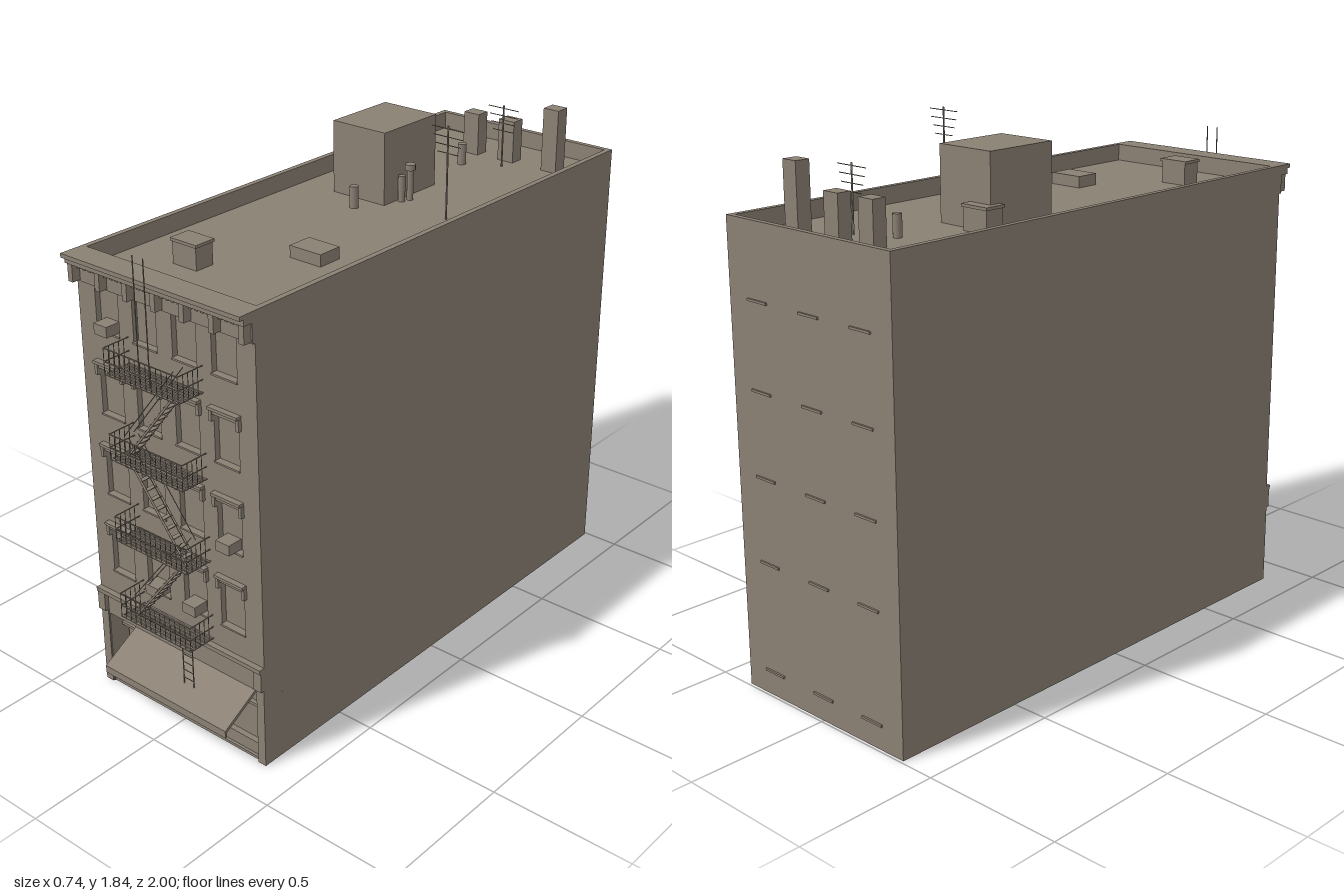
import * as THREE from 'three';

const stone = new THREE.MeshStandardMaterial({ color: 0x8a8074 });
stone.name = 'brownstone';

export function createModel() {
  const model = new THREE.Group();
  model.name = 'tenementBuilding';

  const group = (name, parent = model) => {
    const g = new THREE.Group();
    g.name = name;
    parent.add(g);
    return g;
  };
  const add = (name, geo, parent = model) => {
    const m = new THREE.Mesh(geo, stone);
    m.name = name;
    parent.add(m);
    return m;
  };
  // box given by its limits on each axis
  const box = (name, x0, x1, y0, y1, z0, z1, parent) => {
    const g = new THREE.BoxGeometry(x1 - x0, y1 - y0, z1 - z0);
    g.translate((x0 + x1) / 2, (y0 + y1) / 2, (z0 + z1) / 2);
    return add(name, g, parent);
  };
  // thin round bar between two points
  const rod = (name, a, b, r, parent) => {
    const p = new THREE.Vector3(...a), q = new THREE.Vector3(...b);
    const d = q.clone().sub(p);
    const m = add(name, new THREE.CylinderGeometry(r, r, d.length(), 6), parent);
    m.position.copy(p).add(q).multiplyScalar(0.5);
    m.quaternion.setFromUnitVectors(new THREE.Vector3(0, 1, 0), d.normalize());
    return m;
  };
  const pipe = (name, x, z, r, y0, y1, parent) => {
    const g = new THREE.CylinderGeometry(r, r, y1 - y0, 14);
    g.translate(x, (y0 + y1) / 2, z);
    return add(name, g, parent);
  };

  const W = 0.37, front = 0.86, back = -0.99, deck = 1.52, top = 1.58;
  const columns = [-0.245, -0.083, 0.083, 0.245];
  const floors = [0.465, 0.755, 1.045, 1.335];

  // main block and front wall with window and shop openings
  box('mainBlock', -W, W, 0, deck, back, 0.78);
  const wall = new THREE.Shape();
  [[-W, 0], [-0.335, 0], [-0.335, 0.275], [0.335, 0.275], [0.335, 0], [W, 0], [W, deck], [-W, deck]]
    .forEach(([x, y], i) => (i ? wall.lineTo(x, y) : wall.moveTo(x, y)));
  for (const y of floors) for (const x of columns) {
    const hole = new THREE.Path();
    hole.moveTo(x - 0.05, y);
    hole.lineTo(x - 0.05, y + 0.158);
    hole.lineTo(x + 0.05, y + 0.158);
    hole.lineTo(x + 0.05, y);
    hole.closePath();
    wall.holes.push(hole);
  }
  const wallGeo = new THREE.ExtrudeGeometry(wall, { depth: front - 0.78, bevelEnabled: false });
  wallGeo.translate(0, 0, 0.78);
  add('frontWall', wallGeo);

  // windows with sills and bracketed lintels
  const windows = group('windows');
  for (const y of floors) for (const x of columns) {
    box('windowPane', x - 0.051, x + 0.051, y - 0.001, y + 0.159, 0.82, 0.84, windows);
    box('windowSill', x - 0.052, x + 0.052, y - 0.006, y, 0.84, front + 0.005, windows);
    if (y > 1.3) continue;
    box('lintelCap', x - 0.06, x + 0.06, y + 0.175, y + 0.185, front, 0.88, windows);
    box('lintel', x - 0.055, x + 0.055, y + 0.158, y + 0.175, front, 0.868, windows);
    for (const s of [-1, 1])
      box('lintelBracket', x + s * 0.055 - 0.006, x + s * 0.055 + 0.006, y + 0.135, y + 0.175, front, 0.873, windows);
  }
  for (const [x, y] of [[-0.243, 1.335], [0.243, 0.757], [-0.083, 0.467], [0.083, 0.467]])
    box('airConditioner', x - 0.028, x + 0.028, y, y + 0.036, 0.835, 0.895, windows);

  // rear window sills
  for (const y of [0.085, 0.465, 0.755, 1.04, 1.33]) for (const x of [-0.235, -0.005, 0.235])
    box('rearSill', x - 0.045, x + 0.045, y - 0.004, y + 0.004, back - 0.006, back, windows);

  // parapet and front cornice
  const roof = group('roof');
  for (const s of [-1, 1])
    box('sideParapet', s * 0.36 - 0.01, s * 0.36 + 0.01, deck, top, back, front, roof);
  box('rearParapet', -0.35, 0.35, deck, top, back, back + 0.02, roof);
  box('frontParapet', -0.35, 0.35, deck, top, 0.83, front, roof);
  const cornice = group('cornice');
  box('corniceTop', -W, W, 1.566, top, front, 0.92, cornice);
  box('corniceStep', -W, W, 1.545, 1.566, front, 0.905, cornice);
  box('frieze', -W, W, 1.48, 1.545, front, 0.87, cornice);
  for (let i = 0; i < 7; i++) {
    const x = -0.355 + i * 0.71 / 6;
    box('corniceBracket', x - 0.01, x + 0.01, 1.485, 1.545, 0.87, 0.9, cornice);
    for (let k = 1; k < 5 && i < 6; k++)
      box('dentil', x + k * 0.0237 - 0.006, x + k * 0.0237 + 0.006, 1.53, 1.545, 0.87, 0.887, cornice);
  }

  // shopfront
  const shop = group('shopfront');
  box('shopFloor', -0.335, 0.335, 0, 0.01, 0.78, 0.855, shop);
  box('shopCornice', -W, W, 0.36, 0.375, front, 0.88, shop);
  for (const s of [-1, 1]) {
    box('pilaster', s * 0.354 - 0.016, s * 0.354 + 0.016, 0, 0.29, front, 0.864, shop);
    box('pilasterCap', s * 0.354 - 0.016, s * 0.354 + 0.016, 0.29, 0.36, front, 0.876, shop);
  }
  box('door', -0.325, -0.23, 0.01, 0.205, 0.78, 0.79, shop);
  box('doorTransom', -0.335, -0.22, 0.205, 0.215, 0.78, 0.81, shop);
  box('shopPost', -0.225, -0.212, 0, 0.275, 0.78, 0.85, shop);
  box('shopStall', -0.212, 0.335, 0, 0.055, 0.78, 0.845, shop);
  box('shopGlass', -0.212, 0.335, 0.055, 0.275, 0.78, 0.825, shop);
  box('shopRail', -0.212, 0.335, 0.19, 0.2, 0.82, 0.84, shop);
  for (const x of [-0.03, 0.15, 0.33])
    box('shopMullion', x - 0.005, x + 0.005, 0.055, 0.275, 0.82, 0.84, shop);

  // sloping awning with a short hanging edge; profile drawn in (z, y)
  const profile = new THREE.Shape();
  [[0.86, 0.262], [0.992, 0.188], [0.992, 0.17], [1.0, 0.17], [1.0, 0.196], [0.86, 0.275]]
    .forEach(([z, y], i) => (i ? profile.lineTo(z, y) : profile.moveTo(z, y)));
  const awningGeo = new THREE.ExtrudeGeometry(profile, { depth: 0.54, bevelEnabled: false });
  awningGeo.rotateY(-Math.PI / 2);
  awningGeo.translate(0.33, 0, 0);
  add('awning', awningGeo);

  // fire escape balconies
  const escape = group('fireEscape');
  const x0 = -0.157, x1 = 0.155, zOut = 0.962, levels = [0.39, 0.675, 0.965, 1.255];
  for (const y of levels) {
    const balcony = group('balcony', escape);
    for (let i = 0; i < 8; i++) {
      const z = 0.866 + i * 0.0132;
      box('floorSlat', x0, x1, y, y + 0.005, z - 0.003, z + 0.003, balcony);
    }
    for (const h of [0.003, 0.045, 0.09]) {
      rod('frontRail', [x0, y + h, zOut], [x1, y + h, zOut], 0.002, balcony);
      for (const x of [x0, x1]) rod('sideRail', [x, y + h, front], [x, y + h, zOut], 0.002, balcony);
    }
    for (let i = 0; i <= 14; i++) {
      const x = x0 + (x1 - x0) * i / 14;
      rod('baluster', [x, y, zOut], [x, y + 0.09, zOut], 0.0013, balcony);
    }
    for (const x of [x0, x1]) for (let i = 1; i < 5; i++)
      rod('sideBaluster', [x, y, front + i * 0.02], [x, y + 0.09, front + i * 0.02], 0.0013, balcony);
  }

  // zigzag stairs between balconies
  for (let i = 0; i < 3; i++) {
    const stair = group('stair', escape);
    const s = i === 1 ? -1 : 1, lo = levels[i], hi = levels[i + 1];
    const xa = -0.125 * s, xb = 0.105 * s;
    for (const z of [0.89, 0.93]) {
      rod('stringer', [xa, lo, z], [xb, hi, z], 0.004, stair);
      rod('handrail', [xa, lo + 0.08, z], [xb, hi + 0.08, z], 0.0015, stair);
    }
    for (let k = 1; k < 11; k++) {
      const x = xa + (xb - xa) * k / 11, y = lo + (hi - lo) * k / 11;
      box('tread', x - 0.008, x + 0.008, y - 0.0015, y + 0.0015, 0.89, 0.93, stair);
    }
  }

  // drop ladder and roof ladder poles
  const ladder = group('dropLadder', escape);
  for (const x of [0.09, 0.133]) rod('ladderRail', [x, 0.18, 0.935], [x, 0.39, 0.935], 0.002, ladder);
  for (let i = 0; i < 7; i++)
    rod('ladderRung', [0.09, 0.195 + i * 0.03, 0.935], [0.133, 0.195 + i * 0.03, 0.935], 0.0015, ladder);
  for (const x of [-0.024, 0.02]) rod('roofLadderPole', [x, 1.255, 0.945], [x, 1.67, 0.945], 0.002, escape);

  // rooftop structures
  box('stairBulkhead', -0.208, 0.012, deck, 1.77, -0.43, -0.155, roof);
  box('roofHatch', 0.08, 0.205, deck, 1.56, 0.3, 0.39, roof);
  for (const [x, z] of [[-0.11, 0.62], [-0.175, -0.43]]) {
    box('ventBox', x - 0.05, x + 0.05, deck, 1.595, z - 0.036, z + 0.036, roof);
    box('ventBoxLid', x - 0.055, x + 0.055, 1.595, 1.605, z - 0.04, z + 0.04, roof);
  }
  box('chimney', -0.127, -0.063, deck, 1.67, -0.835, -0.783, roof);
  box('chimney', 0.02, 0.085, deck, 1.67, -0.842, -0.79, roof);
  box('tallChimney', 0.205, 0.266, deck, 1.745, -0.846, -0.792, roof);
  pipe('ventPipe', -0.05, -0.67, 0.015, deck, 1.595, roof);
  pipe('ventPipe', -0.055, -0.08, 0.015, deck, 1.595, roof);
  pipe('ventPipe', 0.028, -0.228, 0.012, deck, 1.61, roof);
  pipe('hoodedPipe', 0.04, -0.258, 0.011, deck, 1.63, roof);
  pipe('pipeHood', 0.04, -0.258, 0.018, 1.625, 1.645, roof);

  // aerials
  for (const [x, z, h] of [[0.247, -0.185, 1.835], [0.077, -0.735, 1.742]]) {
    const aerial = group('aerial', roof);
    rod('mast', [x, deck, z], [x, h, z], 0.003, aerial);
    [0.064, 0.058, 0.05, 0.042].forEach((w, i) => {
      const y = h - 0.01 - i * 0.027;
      rod('aerialArm', [x - w, y, z], [x + w, y, z], 0.0015, aerial);
    });
  }
  return model;
}
